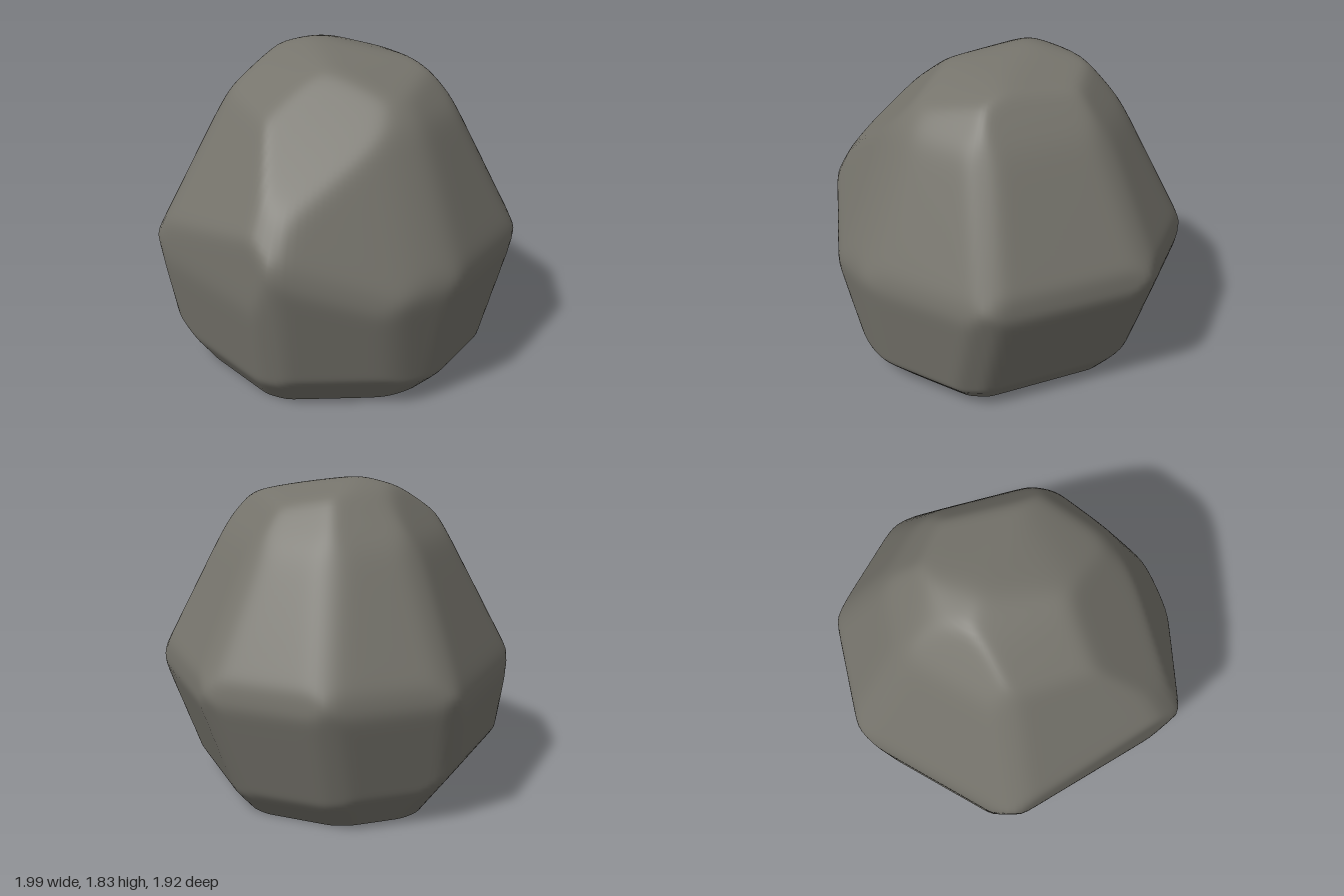
import * as THREE from 'three';
import { mergeVertices } from 'three/addons/utils/BufferGeometryUtils.js';

// Facets are planes [normal x, y, z, distance] measured from the base centre.
// Going round the rock: the facet above the belt, the facet below it,
// and the height and slope of the undercut near the ground.
const SIDES = [
  { upper: [-0.12, 0.55, 1, 1.485], lower: [0, -0.2, 1, 0.838], knee: 0.14, undercut: 0.7 },
  { upper: [-0.87, 0.42, 0.49, 1.242], lower: [-0.87, -0.12, 0.49, 0.854], knee: 0.32, undercut: 0.75 },
  { upper: [-0.95, 0.47, -0.3, 1.323], lower: [-0.95, -0.25, -0.3, 0.772], knee: 0.19, undercut: 0.7 },
  { upper: [-0.51, 0.49, -0.86, 1.332], lower: [-0.51, -0.33, -0.86, 0.705], knee: 0.16, undercut: 0.8 },
  { upper: [0.26, 0.49, -0.965, 1.287], lower: [0.26, -0.37, -0.965, 0.629], knee: 0.13, undercut: 0.85 },
  { upper: [0.94, 0.4, -0.33, 1.246], lower: [0.94, -0.2, -0.33, 0.802], knee: 0.14, undercut: 1.0 },
  { upper: [0.99, 0.42, 0.13, 1.323], lower: [0.99, -0.18, 0.13, 0.879], knee: 0.14, undercut: 1.0 },
  { upper: [0.948, 0.42, 0.403, 1.36], lower: [0.8, -0.25, 0.6, 0.857], knee: 0.19, undercut: 0.8 },
];

// Crown facets, the front corner facet and the upright front strip
const CROWN = [
  [0.17, 0.985, 0, 1.785],
  [0.39, 0.92, 0, 1.73],
  [-0.33, 0.94, 0, 1.795],
  [-0.64, 0.77, 0, 1.615],
  [0, 0.96, -0.28, 1.76],
  [0, 0.94, 0.35, 1.765],
  [0, 0.836, 0.55, 1.65],
  [0.5, 0.7, 0.5, 1.495],
  [0, 0, 1, 0.965],
];

const RIM = 1.5;          // height where the sides turn into the crown
const RIM_SLOPE = 0.8;
const BEVEL = 0.36;       // depth of the worn edges
const SHARPNESS = 120;    // higher gives tighter rounding between facets

function unit([x, y, z, d]) {
  const l = Math.hypot(x, y, z);
  return [x / l, y / l, z / l, d / l];
}

// Plane that trims the edge between two facets, deeper on sharper edges
function bevel(a, b) {
  const sum = a.map((value, i) => value + b[i]);
  const l = Math.hypot(sum[0], sum[1], sum[2]);
  const plane = sum.map((value) => value / l);
  plane[3] -= BEVEL * (1 - l / 2);
  return plane;
}

// Same facet turned to another slope about a horizontal line at height y
function turned([x, slope, z, d], newSlope, y) {
  return [x, newSlope, z, d + (newSlope - slope) * y];
}

function facetPlanes() {
  const planes = CROWN.map(unit);
  const columns = SIDES.map(({ upper, lower, knee, undercut }) =>
    [upper, lower, turned(lower, -undercut, knee)].map(unit));

  columns.forEach((column, i) => {
    const next = columns[(i + 1) % columns.length];
    column.forEach((plane, tier) => planes.push(plane, bevel(plane, next[tier])));
    planes.push(bevel(column[0], column[1]));
    // Worn rim between side and crown; the front has its own crown facet
    if (i > 0) planes.push(unit(turned(SIDES[i].upper, RIM_SLOPE, RIM)));
  });
  return planes;
}

// Push each vertex out along its ray to the softly rounded facets
function carve(geometry, planes) {
  const pos = geometry.attributes.position;
  const v = new THREE.Vector3();
  for (let i = 0; i < pos.count; i++) {
    v.fromBufferAttribute(pos, i);
    if (v.length() < 1e-6) continue;
    v.normalize();
    if (v.y < 1e-6) v.y = 0;
    let sum = 0;
    for (const [x, y, z, d] of planes) {
      const k = (x * v.x + y * v.y + z * v.z) / d;
      if (k > 0) sum += Math.pow(k, SHARPNESS);
    }
    v.multiplyScalar(Math.pow(sum, -1 / SHARPNESS));
    pos.setXYZ(i, v.x, v.y, v.z);
  }
}

export function createModel() {
  const group = new THREE.Group();
  group.name = 'boulder';
  const stone = new THREE.MeshStandardMaterial({ color: 0x76746c });
  stone.name = 'stone grey';

  const planes = facetPlanes();
  const segments = 160;

  // Rounded, faceted body
  let body = new THREE.SphereGeometry(1, segments, 90, 0, Math.PI * 2, 0, Math.PI / 2);
  body.deleteAttribute('uv');
  body.deleteAttribute('normal');
  carve(body, planes);
  body = mergeVertices(body, 1e-5);
  body.computeVertexNormals();
  const rock = new THREE.Mesh(body, stone);
  rock.name = 'rockBody';

  // Flat underside sharing the body's lower rim
  const base = new THREE.CircleGeometry(1, segments);
  base.rotateX(Math.PI / 2);
  carve(base, planes);
  const underside = new THREE.Mesh(base, stone);
  underside.name = 'underside';

  group.add(rock, underside);
  return group;
}
